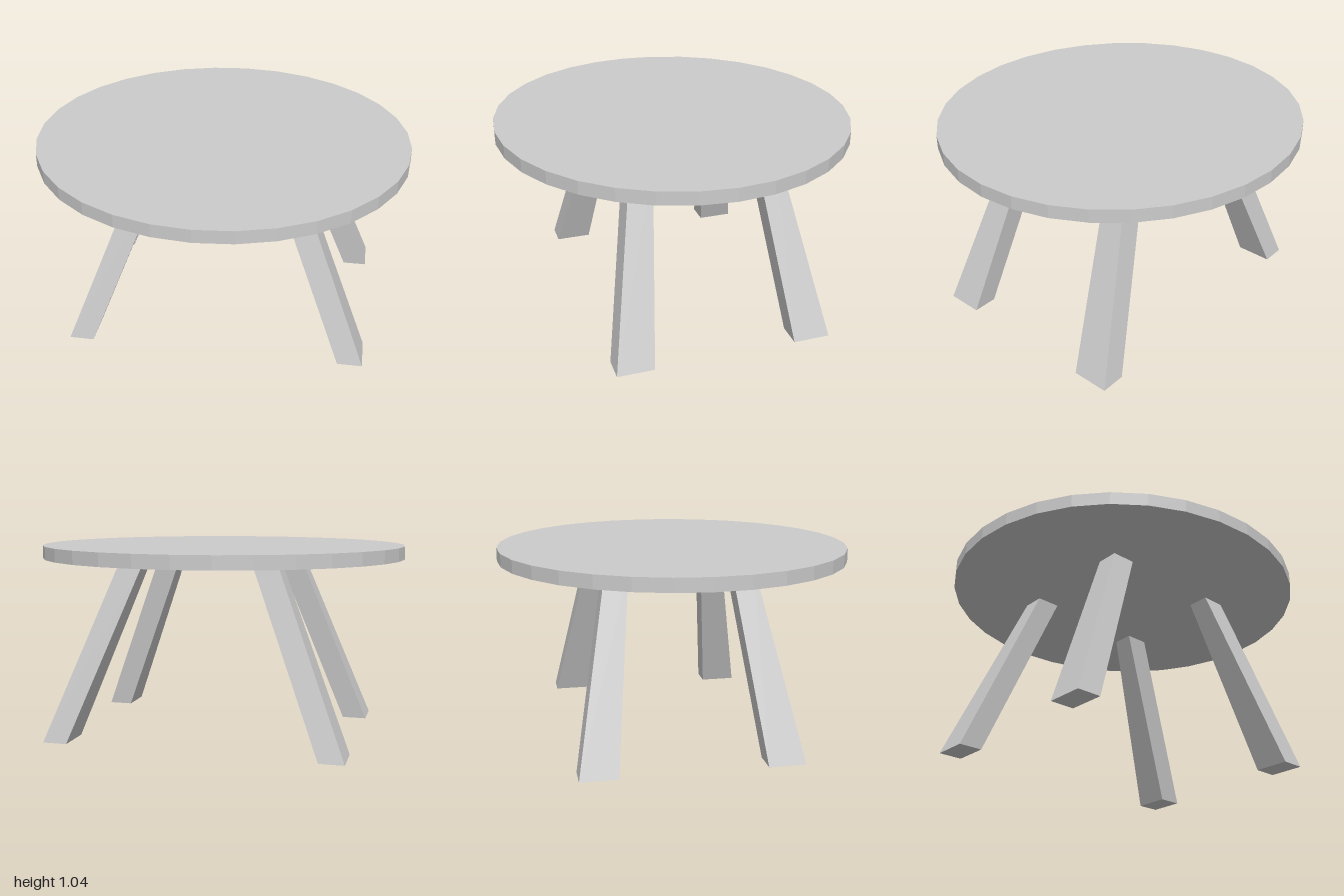
import * as THREE from 'three';

const TOP_Y = 1.04;
const UNDERSIDE_Y = 0.97;
// The four legs share a centre slightly off the tabletop's centre.
const LEGS_X = 0.028;
const LEGS_Z = -0.031;

const material = new THREE.MeshStandardMaterial({ color: 0xcccccc, flatShading: true });

// Splayed leg: a box whose foot and head rectangles are placed separately.
function makeLeg(name, sx, sz) {
  const foot = { x: 0.741, z: 0.483, w: 0.133, d: 0.198 };
  const head = { x: 0.356, z: 0.33, w: 0.133, d: 0.121 };
  const geometry = new THREE.BoxGeometry(1, UNDERSIDE_Y, 1);
  geometry.translate(0, UNDERSIDE_Y / 2, 0);
  const p = geometry.attributes.position;
  for (let i = 0; i < p.count; i++) {
    const end = p.getY(i) > UNDERSIDE_Y / 2 ? head : foot;
    p.setX(i, sx * end.x + p.getX(i) * end.w);
    p.setZ(i, sz * end.z + p.getZ(i) * end.d);
  }
  geometry.computeVertexNormals();
  const leg = new THREE.Mesh(geometry, material);
  leg.name = name;
  leg.position.set(LEGS_X, 0, LEGS_Z);
  return leg;
}

export function createModel() {
  const table = new THREE.Group();
  table.name = 'table';

  // Faceted, slightly oval tabletop
  const thickness = TOP_Y - UNDERSIDE_Y;
  const disc = new THREE.CylinderGeometry(1, 1, thickness, 32);
  disc.scale(1, 1, 0.953);
  const tabletop = new THREE.Mesh(disc, material);
  tabletop.name = 'tabletop';
  tabletop.position.y = UNDERSIDE_Y + thickness / 2;
  table.add(tabletop);

  // Four legs, mirrored left-right and front-back
  for (const [side, sx] of [['Left', 1], ['Right', -1]]) {
    for (const [end, sz] of [['front', 1], ['back', -1]]) {
      table.add(makeLeg(`${end}${side}Leg`, sx, sz));
    }
  }
  return table;
}
